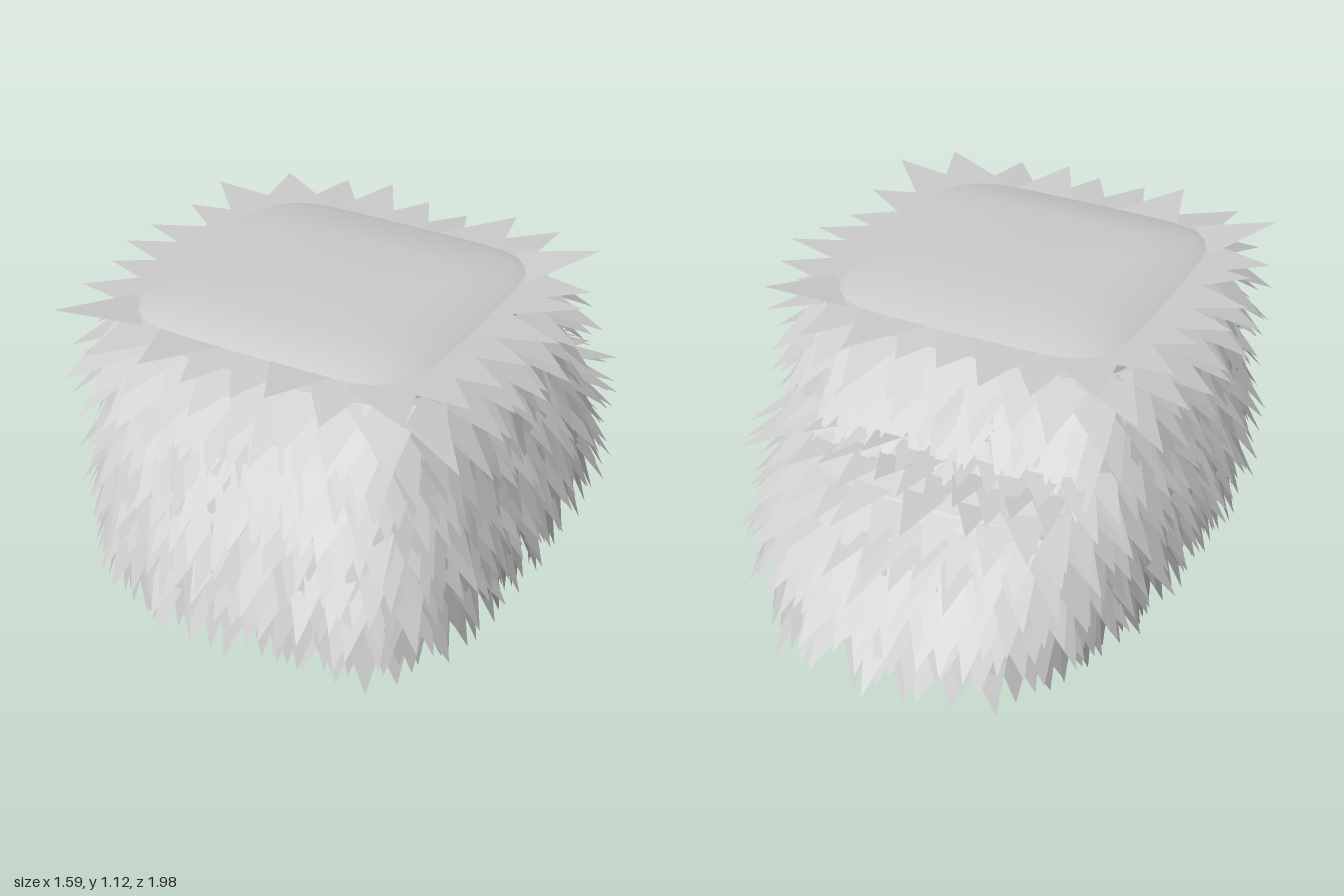
import * as THREE from 'three';
import { toCreasedNormals } from 'three/addons/utils/BufferGeometryUtils.js';

// Body levels: y, half width, front z, back z, front squareness, back squareness
const LEVELS = [
  [0.08, 0.49, 0.77, -0.77, 2.8, 2.6],
  [0.14, 0.58, 0.82, -0.84, 3.6, 3.0],
  [0.30, 0.62, 0.84, -0.825, 4.2, 3.3],
  [0.45, 0.625, 0.84, -0.77, 4.4, 3.4],
  [0.60, 0.62, 0.83, -0.64, 4.4, 3.8],
  [0.67, 0.615, 0.82, -0.50, 4.4, 4.2],
  [0.72, 0.61, 0.815, -0.41, 4.4, 4.6],
  [0.90, 0.59, 0.785, -0.37, 4.6, 5.0],
  [1.00, 0.555, 0.75, -0.34, 5.2, 5.4],
  [1.04, 0.535, 0.73, -0.32, 5.6, 5.6],
  [1.065, 0.48, 0.68, -0.26, 5.6, 5.6],
  [1.085, 0.34, 0.52, -0.05, 5.6, 5.6],
];
const CENTRE_Z = 0.2;

function levelAt(y) {
  let i = 0;
  while (i < LEVELS.length - 2 && y > LEVELS[i + 1][0]) i++;
  const a = LEVELS[i], b = LEVELS[i + 1];
  const k = THREE.MathUtils.clamp((y - a[0]) / (b[0] - a[0]), 0, 1);
  return a.map((v, j) => THREE.MathUtils.lerp(v, b[j], k));
}

// Point on the body at height y and angle t (0 = +x, quarter turn = front)
function bodyPoint(y, t) {
  const [, w, zf, zb, nf, nb] = levelAt(y);
  const c = Math.cos(t), s = Math.sin(t);
  const depth = s >= 0 ? zf - CENTRE_Z : CENTRE_Z - zb;
  const n = s >= 0 ? nf : nb;
  const r = Math.pow(Math.abs(c / w) ** n + Math.abs(s / depth) ** n, -1 / n);
  return new THREE.Vector3(r * c, y, CENTRE_Z + r * s);
}

// Angles spaced evenly along the outline at height y
function evenAngles(y, spacing, shift) {
  const steps = 600, lengths = [0];
  let last = bodyPoint(y, 0);
  for (let i = 1; i <= steps; i++) {
    const p = bodyPoint(y, (i / steps) * Math.PI * 2);
    lengths.push(lengths[i - 1] + p.distanceTo(last));
    last = p;
  }
  const total = lengths[steps], count = Math.round(total / spacing), angles = [];
  for (let k = 0, i = 0; k < count; k++) {
    const target = ((k + shift) / count) * total;
    while (lengths[i + 1] < target) i++;
    const f = (target - lengths[i]) / (lengths[i + 1] - lengths[i]);
    angles.push(((i + f) / steps) * Math.PI * 2);
  }
  return angles;
}

// Body lofted through the levels, closed at both ends
function bodyGeometry() {
  const angles = evenAngles(0.5, 0.09, 0), n = angles.length;
  const positions = [], index = [];
  for (const level of LEVELS) {
    for (const t of angles) positions.push(...bodyPoint(level[0], t).toArray());
  }
  const rows = LEVELS.length;
  positions.push(0, LEVELS[0][0], CENTRE_Z, 0, LEVELS[rows - 1][0], CENTRE_Z);
  for (let j = 0; j < n; j++) {
    const k = (j + 1) % n;
    for (let i = 0; i < rows - 1; i++) {
      const a = i * n + j, b = i * n + k;
      index.push(a, a + n, b, b, a + n, b + n);
    }
    index.push(rows * n, j, k);
    index.push(rows * n + 1, (rows - 1) * n + k, (rows - 1) * n + j);
  }
  const g = new THREE.BufferGeometry();
  g.setAttribute('position', new THREE.Float32BufferAttribute(positions, 3));
  g.setIndex(index);
  return toCreasedNormals(g, 0.35);
}

// One overlapping row of flat pointed tufts, hanging down and lifted outward
function tuftRow(y, row, random) {
  const positions = [];
  const rim = THREE.MathUtils.smoothstep(y, 0.84, 1.04);
  const spacing = 0.088 + 0.045 * rim;
  for (const t of evenAngles(y, spacing, row % 2 ? 0.75 : 0.25)) {
    const rootY = y + (random() - 0.5) * 0.03 * (1 - rim);
    const p = bodyPoint(rootY, t);
    const down = bodyPoint(rootY - 0.04, t).sub(p).normalize();
    const along = bodyPoint(rootY, t + 0.02).sub(bodyPoint(rootY, t - 0.02)).normalize();
    const out = along.clone().cross(down).normalize();
    const lift = 0.45 + 0.33 * rim + (random() - 0.5) * (0.4 - 0.15 * rim);
    const length = 0.21 + 0.03 * rim + (random() - 0.5) * 0.07;
    const half = 0.07 + 0.045 * rim + (random() - 0.5) * 0.02;
    const tip = p.clone()
      .addScaledVector(down, Math.cos(lift) * length)
      .addScaledVector(out, Math.sin(lift) * length)
      .addScaledVector(along, (random() - 0.5) * 0.06);
    const root = p.clone().addScaledVector(out, -0.004);
    const a = root.clone().addScaledVector(along, -half);
    const b = root.clone().addScaledVector(along, half);
    positions.push(...a.toArray(), ...b.toArray(), ...tip.toArray());
  }
  const g = new THREE.BufferGeometry();
  g.setAttribute('position', new THREE.Float32BufferAttribute(positions, 3));
  g.computeVertexNormals();
  return g;
}

export function createModel() {
  const group = new THREE.Group();
  group.name = 'shaggyBody';
  const grey = new THREE.MeshStandardMaterial({ color: 0xcccccc, side: THREE.DoubleSide });
  grey.name = 'lightGrey';

  const body = new THREE.Mesh(bodyGeometry(), grey);
  body.name = 'body';
  group.add(body);

  // Seeded variation for the tufts
  let seed = 17;
  const random = () => (seed = (seed * 16807) % 2147483647) / 2147483647;

  const tufts = new THREE.Group();
  tufts.name = 'tufts';
  const rows = 18;
  for (let i = 0; i < rows; i++) {
    const y = THREE.MathUtils.lerp(0.22, 1.05, i / (rows - 1));
    const row = new THREE.Mesh(tuftRow(y, i, random), grey);
    row.name = 'tuftRow' + (i + 1);
    tufts.add(row);
  }
  group.add(tufts);
  return group;
}
